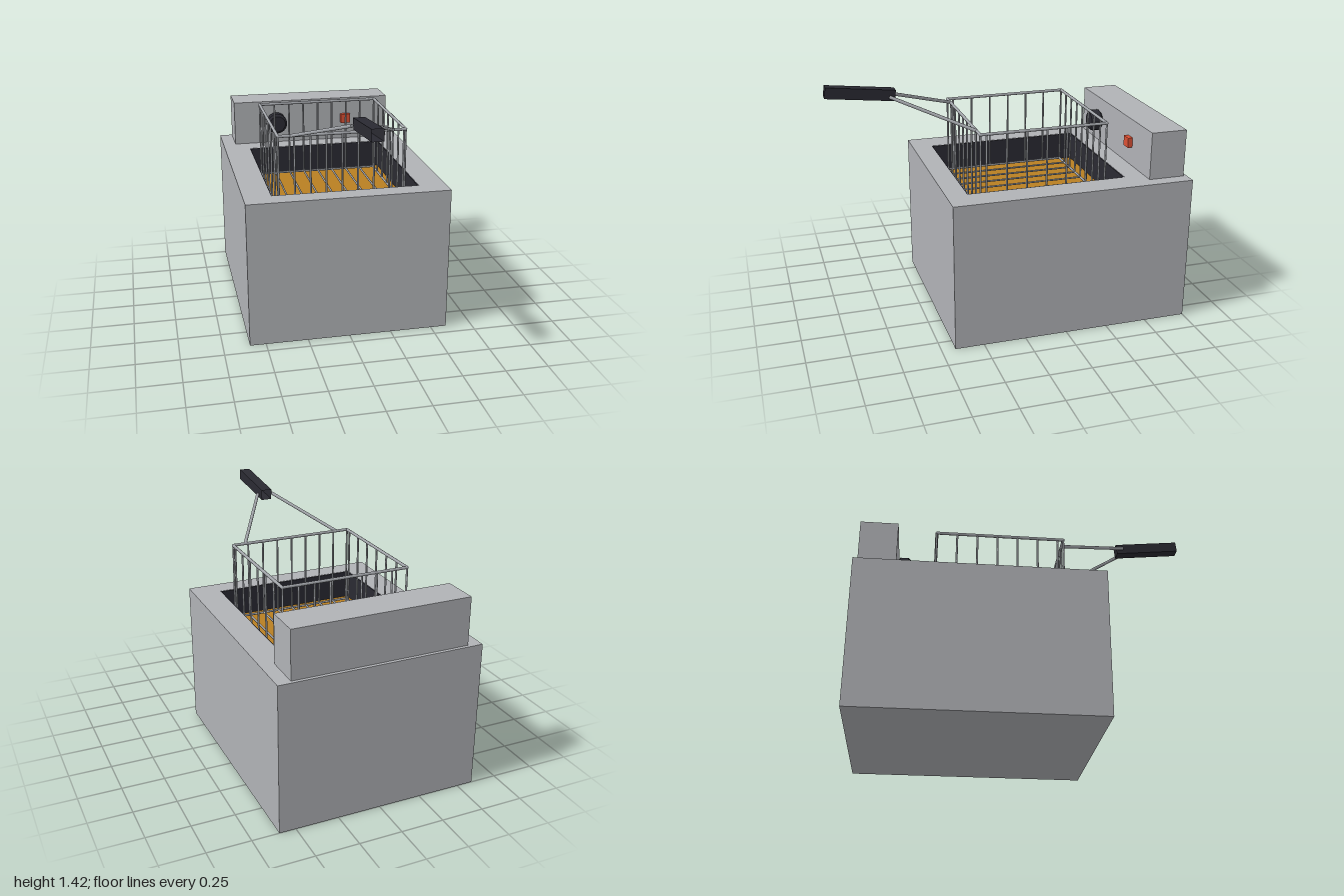
import * as THREE from 'three';

const mat = (name, color, side = THREE.FrontSide) => {
  const m = new THREE.MeshStandardMaterial({ color, side });
  m.name = name;
  return m;
};

export function createModel() {
  const steel = mat('brushed steel', 0xb0b2b6);
  const wire = mat('basket wire', 0xa2a5aa);
  const dark = mat('black plastic', 0x2a2a32, THREE.DoubleSide);
  dark.flatShading = true;
  const oil = mat('frying oil', 0xb97f22);
  const red = mat('red switch', 0xdb5034);

  const model = new THREE.Group();
  model.name = 'deepFryer';

  const add = (parent, name, geometry, material, x = 0, y = 0, z = 0) => {
    const mesh = new THREE.Mesh(geometry, material);
    mesh.name = name;
    mesh.position.set(x, y, z);
    parent.add(mesh);
    return mesh;
  };
  const box = (parent, name, m, w, h, d, x, y, z) =>
    add(parent, name, new THREE.BoxGeometry(w, h, d), m, x, y, z);

  // Round rod between two points
  const rod = (parent, name, a, b, r, m = wire, sides = 8) => {
    const p = new THREE.Vector3(...a), q = new THREE.Vector3(...b);
    const mesh = add(parent, name, new THREE.CylinderGeometry(r, r, p.distanceTo(q), sides), m);
    mesh.position.copy(p).add(q).multiplyScalar(0.5);
    mesh.quaternion.setFromUnitVectors(new THREE.Vector3(0, 1, 0), q.sub(p).normalize());
    return mesh;
  };

  // Cabinet: solid base below a frame around the oil tank
  const top = 0.87, floor = 0.66;
  const hx = 0.595, zb = -1, zf = 0.42;          // outer outline
  const tx = 0.435, tb = -0.645, tf = 0.3;       // tank opening
  box(model, 'cabinetBase', steel, 2 * hx, floor, zf - zb, 0, floor / 2, (zf + zb) / 2);
  const rect = (P, w, z0, z1) => {
    const p = new P();
    p.moveTo(-w, -z1); p.lineTo(w, -z1); p.lineTo(w, -z0); p.lineTo(-w, -z0); p.closePath();
    return p;
  };
  const outline = rect(THREE.Shape, hx, zb, zf);
  outline.holes.push(rect(THREE.Path, tx, tb, tf));
  const frame = new THREE.ExtrudeGeometry(outline, { depth: top - floor, bevelEnabled: false });
  frame.rotateX(-Math.PI / 2);
  add(model, 'cabinetFrame', frame, steel, 0, floor, 0);

  // Dark tank lining and oil surface
  const t = 0.006, lh = top - floor - 0.002, ly = floor + lh / 2, tz = (tb + tf) / 2;
  for (const s of [-1, 1]) {
    box(model, 'tankSideWall', dark, t, lh, tf - tb, s * (tx - t / 2), ly, tz);
    box(model, 'tankEndWall', dark, 2 * tx, lh, t, 0, ly, tz + s * ((tf - tb) / 2 - t / 2));
  }
  box(model, 'oil', oil, 2 * tx - 0.01, 0.04, tf - tb - 0.01, 0, 0.68, tz);

  // Control panel with knob and switch
  box(model, 'controlPanel', steel, 1.03, 0.28, 0.215, 0, top + 0.14, -0.8725);
  const profile = [[0, 0], [0.05, 0], [0.066, 0.014], [0.066, 0.06], [0.052, 0.075], [0, 0.075]]
    .map(([r, y]) => new THREE.Vector2(r, y));
  const knob = add(model, 'knob', new THREE.LatheGeometry(profile, 18), dark, -0.24, 1.01, -0.765);
  knob.rotation.x = Math.PI / 2;
  box(model, 'powerSwitch', red, 0.062, 0.06, 0.035, 0.23, 1.012, -0.754);

  // Wire basket
  const basket = new THREE.Group();
  basket.name = 'basket';
  model.add(basket);
  const bx = 0.375, bb = -0.545, bf = 0.205, rim = 1.187, low = 0.725;
  for (const [y, r, name] of [[rim, 0.009, 'rimWire'], [low, 0.007, 'bottomRing']]) {
    for (const x of [-bx, bx]) rod(basket, name, [x, y, bb], [x, y, bf], r);
    for (const z of [bb, bf]) rod(basket, name, [-bx, y, z], [bx, y, z], r);
  }
  for (const x of [-bx, bx]) for (const z of [bb, bf]) {
    add(basket, 'rimCorner', new THREE.SphereGeometry(0.009, 8, 6), wire, x, rim, z);
  }
  for (let i = -4; i <= 4; i++) {
    const x = i * bx / 4;
    for (const z of [bb, bf]) rod(basket, 'endWire', [x, low, z], [x, rim, z], 0.006);
    if (Math.abs(i) < 4) rod(basket, 'bottomWire', [x, low, bb], [x, low, bf], 0.006);
  }
  for (let i = 0; i < 6; i++) {
    const z = 0.17 - i * 0.119;
    for (const x of [-bx, bx]) rod(basket, 'sideWire', [x, low, z], [x, rim, z], 0.006);
  }

  // Handle: two converging arms and an open square grip
  for (const s of [-1, 1]) {
    rod(basket, 'handleArm', [s * 0.3, rim, bf], [s * 0.047, 1.348, 0.64], 0.01);
  }
  const grip = new THREE.CylinderGeometry(0.045, 0.045, 0.396, 4, 1, true);
  grip.rotateY(Math.PI / 4);
  grip.rotateX(Math.PI / 2 - 0.11);
  add(basket, 'grip', grip, dark, 0, 1.371, 0.8);

  return model;
}
